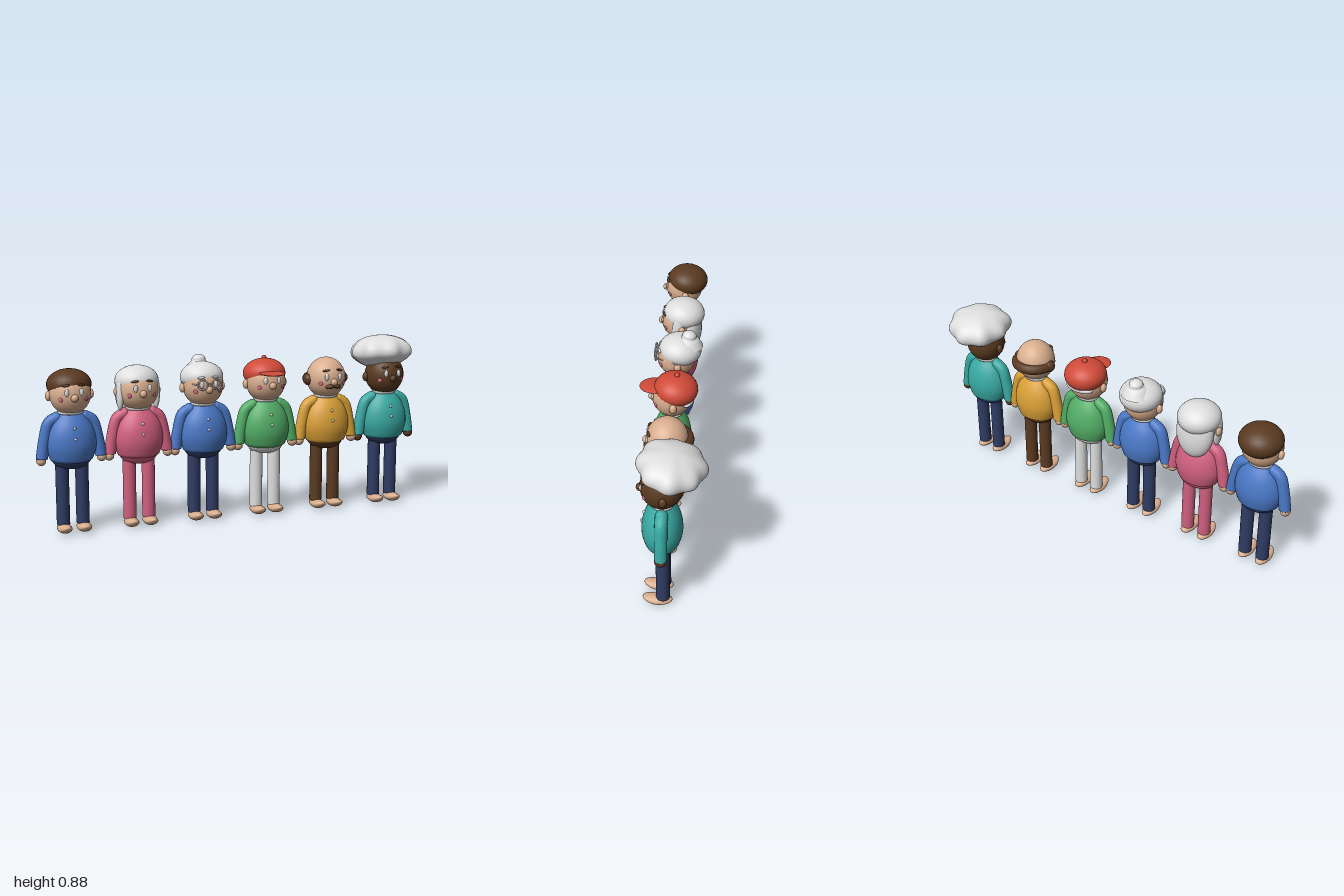
import * as THREE from 'three';

const mat = (name, color) => {
  const m = new THREE.MeshStandardMaterial({ color });
  m.name = name;
  return m;
};
const M = {
  skin: mat('skin', 0xd9ae8e), brown: mat('dark brown', 0x5a3a20), white: mat('white', 0xdedede),
  blue: mat('blue', 0x4a78c6), pink: mat('pink', 0xd1607f), green: mat('green', 0x52ad66),
  mustard: mat('mustard', 0xd99f36), teal: mat('teal', 0x38a8a2), navy: mat('navy', 0x2f3c64),
  red: mat('red', 0xd04a38),
};

const HEAD = { y: 0.678, z: 0.022, rx: 0.1, ry: 0.105, rz: 0.098 };
// depth of the face surface at a given point
const faceZ = (x, y) =>
  HEAD.z + HEAD.rz * Math.sqrt(Math.max(0, 1 - (x / HEAD.rx) ** 2 - ((y - HEAD.y) / HEAD.ry) ** 2));

// large forms and small details
const ball = new THREE.SphereGeometry(1, 28, 18);
const bead = new THREE.SphereGeometry(1, 14, 10);

function add(group, name, geo, material, pos = [0, 0, 0], scale = [1, 1, 1], rot = [0, 0, 0]) {
  const mesh = new THREE.Mesh(geo, material);
  mesh.name = name;
  mesh.position.set(...pos);
  mesh.scale.set(...scale);
  mesh.rotation.set(...rot);
  group.add(mesh);
}

const lathe = (points) => new THREE.LatheGeometry(
  new THREE.SplineCurve(points.map(p => new THREE.Vector2(...p))).getPoints(24)
    .map(p => new THREE.Vector2(Math.max(0, p.x), p.y)), 32);

// shirt body, round at the belly
const torsoGeo = lathe([[0, 0.35], [0.068, 0.35], [0.085, 0.38], [0.094, 0.43], [0.089, 0.485],
  [0.075, 0.53], [0.055, 0.565], [0.035, 0.589], [0, 0.596]]);

// rounded foot with a raised toe
function footGeometry() {
  const g = new THREE.SphereGeometry(1, 20, 14);
  const p = g.attributes.position;
  for (let i = 0; i < p.count; i++) {
    const z = p.getZ(i);
    const lift = Math.max(0, z) ** 2 * 0.016;
    p.setXYZ(i, p.getX(i) * 0.035, p.getY(i) * 0.022 + lift, z * 0.07);
  }
  g.computeVertexNormals();
  return g;
}
const footGeo = footGeometry();

// puffy hat: ellipsoid with lobes, drawn in towards the head
function puffGeometry() {
  const g = new THREE.SphereGeometry(1, 64, 32);
  const p = g.attributes.position;
  for (let i = 0; i < p.count; i++) {
    const x = p.getX(i), y = p.getY(i), z = p.getZ(i);
    const a = Math.atan2(z, x), side = 1 - y * y;
    const lobes = 1 + 0.045 * Math.cos(8 * a) * side + 0.03 * Math.sin(3 * a + 1) * side;
    const k = lobes * (1 + 0.2 * Math.min(0, y + 0.25));
    p.setXYZ(i, x * k * 0.158, y * 0.088 * (1 + 0.06 * Math.cos(5 * a) * side), z * k * 0.153);
  }
  g.computeVertexNormals();
  return g;
}

const armPath = (s) => new THREE.CatmullRomCurve3([[0.068, 0.562], [0.104, 0.54], [0.128, 0.46], [0.143, 0.372]]
  .map(([x, y]) => new THREE.Vector3(s * x, y, 0.02)));

function addBody(g, { shirt, pants, skin }) {
  add(g, 'shirt', torsoGeo, M[shirt], [0, 0, 0.022], [1.3, 1, 1]);
  add(g, 'hips', ball, M[pants], [0, 0.36, 0.02], [0.094, 0.05, 0.07]);
  add(g, 'collar', new THREE.TorusGeometry(0.052, 0.011, 8, 28), M.white, [0, 0.589, 0.02], [1, 0.9, 1], [Math.PI / 2, 0, 0]);
  for (const [y, z] of [[0.52, 0.104], [0.47, 0.115]])
    add(g, 'button', bead, M.white, [0, y, z], [0.007, 0.007, 0.007]);
  for (const s of [-1, 1]) {
    add(g, 'sleeve', new THREE.TubeGeometry(armPath(s), 16, 0.029, 16), M[shirt]);
    add(g, 'shoulder', bead, M[shirt], [s * 0.068, 0.562, 0.02], [0.029, 0.029, 0.029]);
    add(g, 'cuff', bead, M[shirt], [s * 0.143, 0.372, 0.02], [0.0285, 0.01, 0.0285]);
    add(g, 'hand', bead, M[skin], [s * 0.147, 0.36, 0.021], [0.024, 0.025, 0.028]);
    add(g, 'leg', new THREE.CylinderGeometry(0.032, 0.032, 0.29, 24), M[pants], [s * 0.048, 0.185, 0.019]);
    add(g, 'foot', footGeo, M.skin, [s * 0.048, 0.024, 0.044]);
  }
}

function addHead(g, { skin, brows }) {
  add(g, 'head', ball, M[skin], [0, HEAD.y, HEAD.z], [HEAD.rx, HEAD.ry, HEAD.rz]);
  add(g, 'nose', bead, M[skin], [0, 0.667, 0.121], [0.018, 0.018, 0.016]);
  for (const s of [-1, 1]) {
    add(g, 'ear', bead, M[skin], [s * 0.102, 0.667, 0.012], [0.015, 0.024, 0.018]);
    add(g, 'eye', bead, M.white, [s * 0.035, 0.693, faceZ(0.035, 0.693)], [0.011, 0.018, 0.007]);
    add(g, 'eyebrow', bead, M[brows], [s * 0.036, 0.726, faceZ(0.036, 0.726) + 0.003], [0.019, 0.006, 0.007], [0, s * 0.3, -s * 0.15]);
    add(g, 'cheek', bead, M.pink, [s * 0.062, 0.658, faceZ(0.062, 0.658)], [0.011, 0.011, 0.005], [0, s * 0.7, 0]);
  }
}

// close-fitting hair or cap dome
const dome = (g, name, color) =>
  add(g, name, ball, M[color], [0, 0.717, 0.003], [0.107, 0.075, 0.106], [-0.08, 0, 0]);

const tops = {
  shortHair: g => dome(g, 'short hair', 'brown'),

  longHair(g) {
    dome(g, 'long hair top', 'white');
    add(g, 'long hair back', ball, M.white, [0, 0.652, -0.032], [0.098, 0.135, 0.056], [0.08, 0, 0]);
    for (const s of [-1, 1])
      add(g, 'side lock', ball, M.white, [s * 0.09, 0.66, 0.026], [0.018, 0.082, 0.034]);
  },

  bunHair(g) {
    dome(g, 'bun hair', 'white');
    add(g, 'bun', lathe([[0.075, 0], [0.052, 0.03], [0.036, 0.042], [0.033, 0.058], [0.018, 0.071], [0, 0.075]]),
      M.white, [0, 0.747, -0.035], [1, 1, 1], [-0.12, 0, 0]);
    for (const s of [-1, 1]) {
      add(g, 'glasses rim', new THREE.TorusGeometry(0.024, 0.004, 8, 28), M.white, [s * 0.035, 0.694, 0.126], [1, 1, 1], [0, s * 0.15, 0]);
      add(g, 'glasses arm', new THREE.CylinderGeometry(0.003, 0.003, 0.12, 8), M.white, [s * 0.083, 0.694, 0.066], [1, 1, 1], [Math.PI / 2, 0, s * 0.45]);
    }
    add(g, 'glasses bridge', new THREE.CylinderGeometry(0.003, 0.003, 0.024, 8), M.white, [0, 0.697, 0.129], [1, 1, 1], [0, 0, Math.PI / 2]);
  },

  peakedCap(g) {
    dome(g, 'cap', 'red');
    add(g, 'cap peak', ball, M.red, [0, 0.728, 0.105], [0.064, 0.01, 0.073], [0.02, 0, 0]);
    add(g, 'cap button', bead, M.red, [0, 0.794, -0.002], [0.013, 0.012, 0.013]);
    add(g, 'back hair', ball, M.white, [0, 0.666, -0.046], [0.078, 0.024, 0.04]);
  },

  balding(g) {
    // horseshoe of hair around the back, puffed over the ears
    add(g, 'hair band', new THREE.TorusGeometry(0.088, 0.026, 14, 32, Math.PI), M.brown, [0, 0.673, 0.012], [1.02, 1, 1], [-Math.PI / 2, 0, 0]);
    for (const s of [-1, 1]) {
      add(g, 'side hair', ball, M.brown, [s * 0.094, 0.673, 0.014], [0.028, 0.03, 0.032]);
      add(g, 'moustache', bead, M.brown, [s * 0.019, 0.645, 0.117], [0.025, 0.011, 0.013], [0, s * 0.25, -s * 0.15]);
    }
  },

  chefHat: g => add(g, 'puffy hat', puffGeometry(), M.white, [0, 0.789, -0.02], [1, 1, 1], [-0.12, 0, 0]),
};

const people = [
  { name: 'shortHairedMan', shirt: 'blue', pants: 'navy', skin: 'skin', brows: 'brown', top: 'shortHair' },
  { name: 'longHairedWoman', shirt: 'pink', pants: 'pink', skin: 'skin', brows: 'brown', top: 'longHair' },
  { name: 'womanWithBun', shirt: 'blue', pants: 'navy', skin: 'skin', brows: 'white', top: 'bunHair' },
  { name: 'manWithCap', shirt: 'green', pants: 'white', skin: 'skin', brows: 'white', top: 'peakedCap' },
  { name: 'baldingMan', shirt: 'mustard', pants: 'brown', skin: 'skin', brows: 'brown', top: 'balding' },
  { name: 'cook', shirt: 'teal', pants: 'navy', skin: 'brown', brows: 'brown', top: 'chefHat' },
];

export function createModel() {
  const model = new THREE.Group();
  model.name = 'rowOfPeople';
  people.forEach((person, i) => {
    const g = new THREE.Group();
    g.name = person.name;
    g.position.x = (i - 2.5) * 0.3316;
    addBody(g, person);
    addHead(g, person);
    tops[person.top](g);
    model.add(g);
  });
  return model;
}
